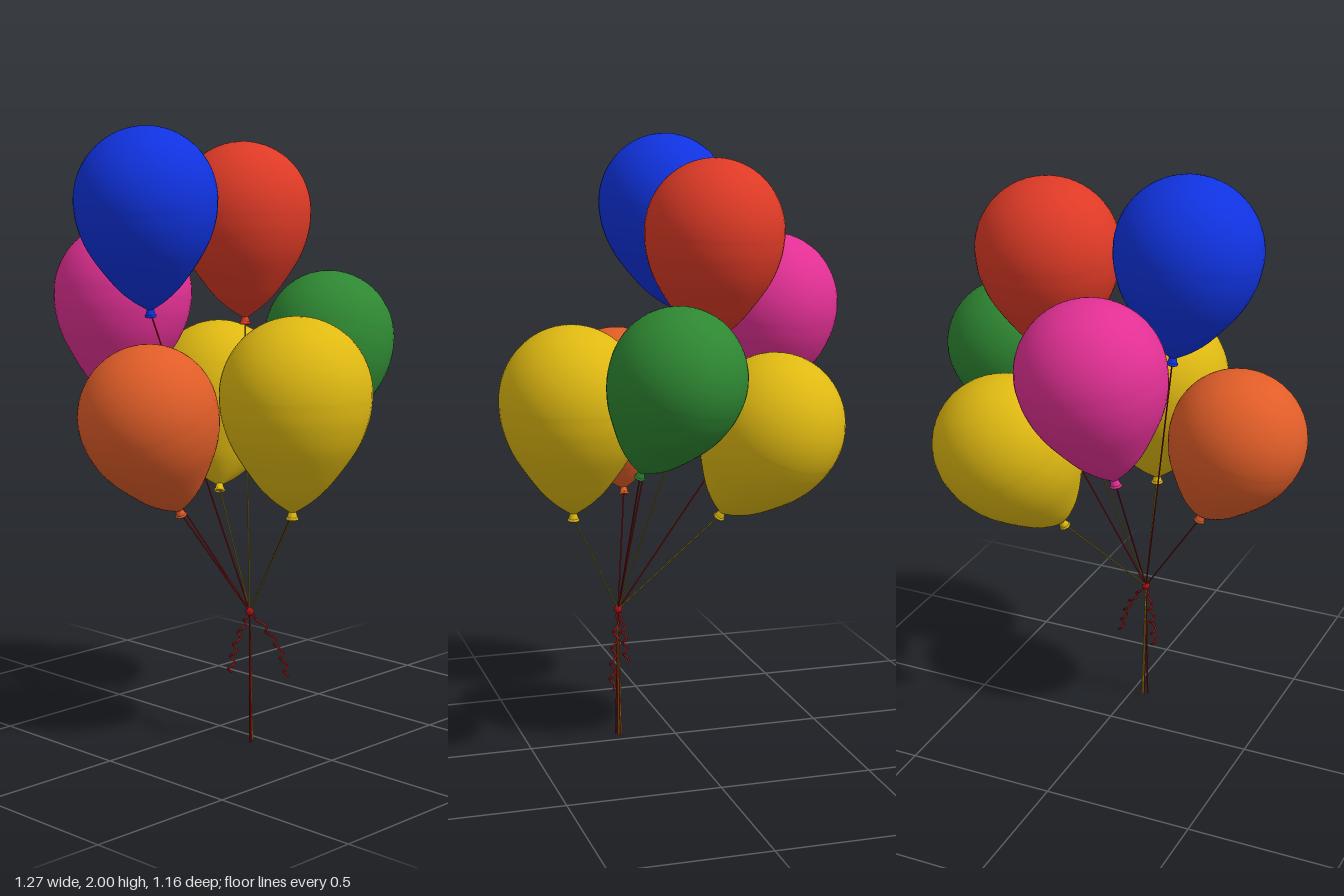
import * as THREE from 'three';

const paint = (name, color) => {
  const m = new THREE.MeshStandardMaterial({ color });
  m.name = name;
  return m;
};
const V = (x, y, z) => new THREE.Vector3(x, y, z);
const UP = V(0, 1, 0);
const TIE = V(-0.05, 0.44, 0.185);
const NECK = 1.5; // distance from widest ring to neck, in radii

export function createModel() {
  const model = new THREE.Group();
  model.name = 'balloonBunch';

  const mats = {
    blue: paint('blue', 0x1033e0),
    red: paint('red', 0xdd3a26),
    magenta: paint('magenta', 0xe23094),
    yellow: paint('yellow', 0xdfb912),
    green: paint('green', 0x2e8732),
    orange: paint('orange', 0xe05d28),
    redString: paint('darkRedString', 0xa01414),
    yellowString: paint('oliveString', 0xa09020),
  };

  const add = (parent, name, geometry, material) => {
    const mesh = new THREE.Mesh(geometry, material);
    mesh.name = name;
    parent.add(mesh);
    return mesh;
  };

  // Unit balloon: teardrop below the widest ring, dome above
  const lower = new THREE.SplineCurve(
    [[0.05, 1], [0.27, 0.9], [0.5, 0.75], [0.82, 0.45], [0.965, 0.2], [1, 0]]
      .map(([r, t]) => new THREE.Vector2(r, -t * NECK)));
  const profile = lower.getPoints(26);
  for (let i = 1; i <= 18; i++) {
    const a = (i / 18) * Math.PI / 2;
    profile.push(new THREE.Vector2(i === 18 ? 0 : Math.cos(a), Math.sin(a) * 0.985));
  }
  const bodyGeo = new THREE.LatheGeometry(profile, 48);

  // Flared nozzle and rolled lip beneath the neck
  const nozzleGeo = new THREE.CylinderGeometry(0.045, 0.075, 0.1, 16);
  nozzleGeo.translate(0, -NECK - 0.04, 0);
  const lipGeo = new THREE.TorusGeometry(0.065, 0.02, 8, 20);
  lipGeo.rotateX(Math.PI / 2);
  lipGeo.translate(0, -NECK - 0.09, 0);

  const tube = (points, radius, segments) =>
    new THREE.TubeGeometry(new THREE.CatmullRomCurve3(points), segments, radius, 6);

  // name, colour, string colour, radius, centre, neck
  const balloons = [
    ['blueBalloon', 'blue', 'redString', 0.234, [-0.283, 1.768, -0.048], [-0.245, 1.42, -0.07]],
    ['redBalloon', 'red', 'yellowString', 0.233, [0.183, 1.715, -0.073], [0.175, 1.36, -0.055]],
    ['magentaBalloon', 'magenta', 'redString', 0.237, [-0.097, 1.445, -0.358], [-0.165, 1.1, -0.335]],
    ['greenBalloon', 'green', 'redString', 0.225, [0.409, 1.295, 0.115], [0.3, 0.99, 0.2]],
    ['frontYellowBalloon', 'yellow', 'yellowString', 0.25, [-0.01, 1.164, 0.345], [-0.02, 0.8, 0.342]],
    ['backYellowBalloon', 'yellow', 'yellowString', 0.238, [0.257, 1.1, -0.25], [0.12, 0.79, -0.12]],
    ['orangeBalloon', 'orange', 'redString', 0.225, [-0.41, 1.113, 0.092], [-0.285, 0.8, 0.1]],
  ];

  balloons.forEach(([name, color, stringColor, r, c, n], i) => {
    const centre = V(...c);
    const axis = centre.clone().sub(V(...n)).normalize();
    const balloon = new THREE.Group();
    balloon.name = name;
    balloon.position.copy(centre);
    balloon.quaternion.setFromUnitVectors(UP, axis);
    balloon.scale.set(r, r, r * 0.945);
    add(balloon, 'body', bodyGeo, mats[color]);
    add(balloon, 'nozzle', nozzleGeo, mats[color]);
    add(balloon, 'lip', lipGeo, mats[color]);
    model.add(balloon);

    // String runs straight to the tie, then hangs down in a tight bundle
    const mouth = centre.clone().addScaledVector(axis, -r * (NECK + 0.05));
    const string = add(model, name + 'String',
      new THREE.TubeGeometry(new THREE.LineCurve3(mouth, TIE), 1, 0.0025, 6), mats[stringColor]);
    string.userData.index = i;
    const end = V(i === 0 ? -0.056 : -0.042 + 0.004 * Math.cos(i * 1.05), 0,
      0.184 + (i === 0 ? 0.01 : 0.005 * Math.sin(i * 1.05)));
    add(model, name + 'StringTail',
      new THREE.TubeGeometry(new THREE.LineCurve3(TIE, end), 1, 0.0028, 6), mats[stringColor]);
  });

  // Knot holding the strings together
  const knot = add(model, 'knot', new THREE.SphereGeometry(0.014, 16, 12), mats.redString);
  knot.position.copy(TIE);

  // Two curly ribbon ends
  const curl = (name, end) => {
    const points = [];
    for (let i = 0; i <= 40; i++) {
      const t = i / 40;
      const wave = 0.009 * Math.min(1, t * 4);
      const p = TIE.clone().lerp(end, t);
      // Bow outward near the knot, then wind around the path
      const bow = 0.1 * Math.sin(Math.PI * t);
      p.x += (end.x - TIE.x) * bow * 2 + wave * Math.cos(t * Math.PI * 10);
      p.z += (end.z - TIE.z) * bow * 2 + wave * Math.sin(t * Math.PI * 10);
      points.push(p);
    }
    add(model, name, tube(points, 0.0035, 120), mats.redString);
  };
  curl('leftRibbon', V(0.07, 0.205, 0.24));
  curl('rightRibbon', V(-0.1, 0.235, 0.145));

  return model;
}
